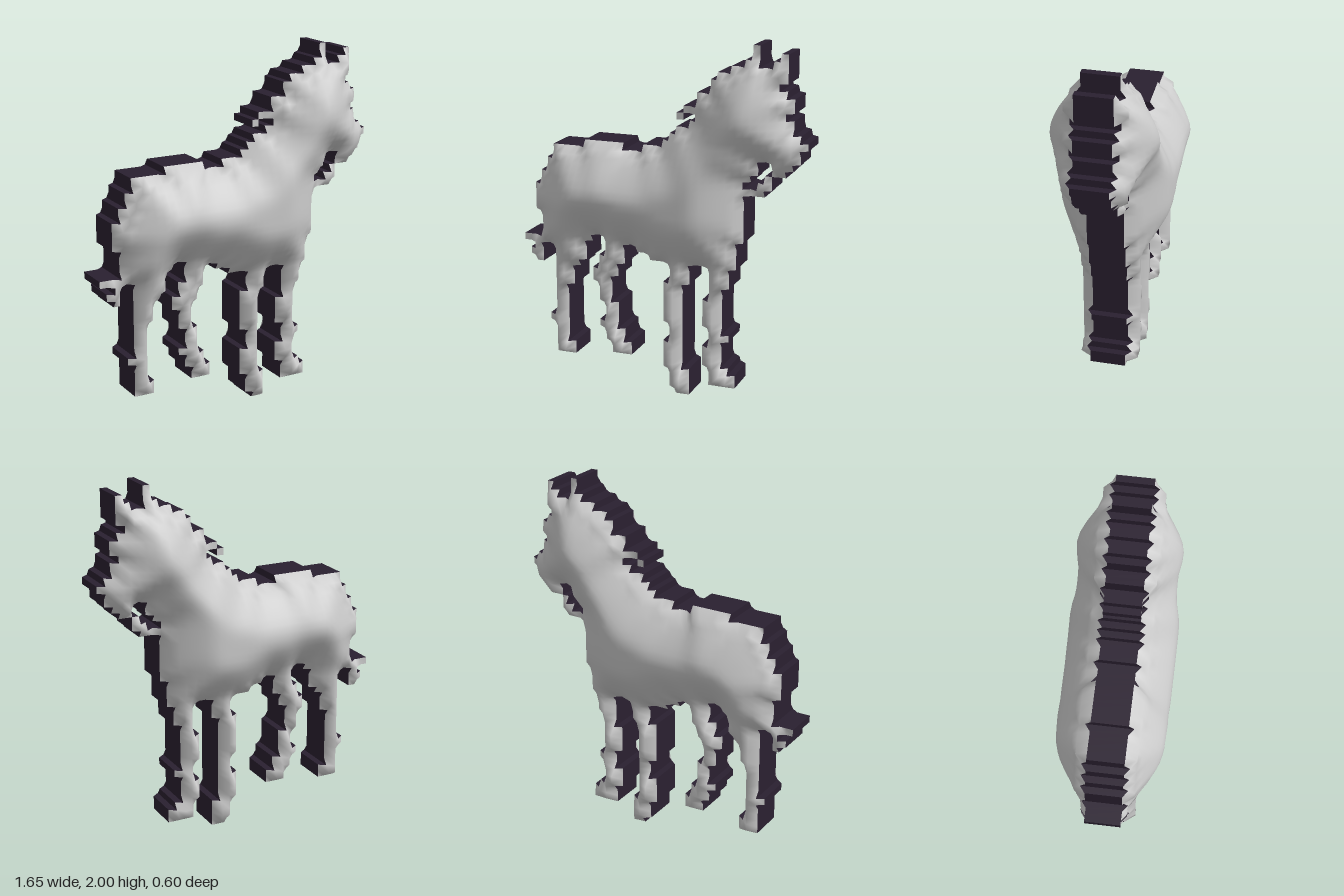
import * as THREE from 'three';

// Puffed-up horse: a stepped silhouette on a square grid, swelling with depth.
const COLS = 43, ROWS = 52, S = 2 / ROWS;

// Silhouette runs per part: [first row, last row, from column, to column], rows from the top
const PARTS = {
  ears: [[0, 1, 35, 36], [1, 1, 39, 40], [2, 2, 34, 36], [2, 2, 38, 40]],
  head: [[3, 3, 32, 40], [4, 4, 30, 40], [5, 5, 29, 39], [6, 6, 29, 40], [7, 8, 27, 41],
    [9, 9, 27, 40], [10, 10, 27, 41], [11, 11, 26, 41], [12, 12, 30, 42], [13, 13, 32, 43],
    [14, 15, 33, 42], [16, 16, 38, 41], [17, 17, 38, 40]],
  mane: [[9, 9, 25, 27], [10, 10, 24, 25]],
  neck: [[12, 12, 24, 30], [13, 13, 23, 32], [14, 14, 22, 33], [15, 15, 19, 33],
    [16, 17, 20, 36], [18, 18, 20, 35], [19, 19, 20, 34]],
  bridle: [[18, 18, 37, 38], [19, 19, 36, 38], [20, 20, 34, 37]],
  body: [[15, 15, 10, 16], [16, 17, 5, 20], [18, 19, 4, 20], [20, 21, 3, 34], [22, 25, 2, 34],
    [26, 27, 3, 34], [28, 28, 3, 33], [29, 29, 3, 11], [29, 29, 13, 33], [30, 30, 3, 10],
    [30, 30, 13, 16], [30, 30, 18, 33], [31, 31, 20, 33]],
  tail: [[30, 30, 0, 3], [31, 31, 2, 3], [32, 32, 1, 3], [33, 33, 2, 3]],
  hindLegOuter: [[31, 32, 5, 10], [33, 33, 5, 9], [34, 36, 5, 8], [37, 45, 5, 7],
    [42, 42, 4, 5], [46, 47, 5, 8]],
  hindLegInner: [[31, 31, 13, 16], [32, 32, 12, 16], [33, 33, 12, 15], [34, 34, 11, 15],
    [35, 35, 11, 14], [36, 38, 12, 14], [39, 41, 13, 15], [42, 42, 12, 15],
    [43, 44, 13, 16], [45, 46, 14, 17]],
  foreLegInner: [[32, 34, 23, 26], [35, 40, 22, 25], [41, 43, 23, 25], [44, 47, 22, 25],
    [48, 50, 23, 26], [51, 51, 24, 26]],
  foreLegOuter: [[32, 34, 29, 32], [35, 36, 29, 31], [37, 40, 28, 31], [41, 41, 29, 31],
    [42, 42, 29, 32], [43, 43, 29, 31], [44, 46, 28, 31], [47, 47, 29, 32], [48, 49, 29, 33]],
};

// Rasterise the runs so each cell knows its part
const cells = new Map();
for (const [name, runs] of Object.entries(PARTS))
  for (const [r0, r1, c0, c1] of runs)
    for (let r = r0; r <= r1; r++)
      for (let c = c0; c < c1; c++) cells.set(c + ',' + r, name);
const solid = (c, r) => cells.has(c + ',' + r);
const around = [[1, 0], [-1, 0], [0, 1], [0, -1]];

// Half thickness at each grid corner, from its distance to the silhouette edge
function swell() {
  const count = [], edge = [];
  const id = (c, r) => r * (COLS + 1) + c;
  for (let r = 0; r <= ROWS; r++) for (let c = 0; c <= COLS; c++) {
    const n = solid(c, r) + solid(c - 1, r) + solid(c, r - 1) + solid(c - 1, r - 1);
    count[id(c, r)] = n;
    if (n > 0 && n < 4) edge.push([c, r]);
  }
  const depth = [];
  let h = count.map((n, i) => {
    if (!n) return undefined;
    const c = i % (COLS + 1), r = Math.floor(i / (COLS + 1));
    depth[i] = n < 4 ? (n === 3 ? 0.3 : 0)
      : Math.min(...edge.map(([a, b]) => Math.hypot(a - c, b - r)));
    return 0.1 + 0.2 * Math.min(1, depth[i] / 6) ** 0.65;
  });
  // soften ridges inside the wide parts
  for (let pass = 0; pass < 2; pass++)
    h = h.map((v, i) => depth[i] > 1
      ? (2 * v + h[i - 1] + h[i + 1] + h[i - COLS - 1] + h[i + COLS + 1]) / 6 : v);
  return (c, r) => (c < 0 || r < 0 || c > COLS || r > ROWS ? undefined : h[id(c, r)]);
}

const X = c => (c - COLS / 2) * S;
const Y = r => 2 - r * S;

function geometry(positions, normals) {
  const g = new THREE.BufferGeometry();
  g.setAttribute('position', new THREE.Float32BufferAttribute(positions, 3));
  if (normals) g.setAttribute('normal', new THREE.Float32BufferAttribute(normals, 3));
  else g.computeVertexNormals();
  return g;
}

export function createModel() {
  const height = swell();
  const hideMaterial = new THREE.MeshStandardMaterial({ color: 0xcccccc });
  const rimMaterial = new THREE.MeshStandardMaterial({ color: 0x2a2030 });

  // slope of the swollen surface along one grid direction
  const slope = (c, r, dc, dr) => {
    const here = height(c, r), a = height(c - dc, r - dr), b = height(c + dc, r + dr);
    const steps = (a !== undefined) + (b !== undefined);
    return ((b ?? here) - (a ?? here)) / (S * Math.max(1, steps));
  };
  const normal = (c, r, side) =>
    new THREE.Vector3(-slope(c, r, 1, 0), slope(c, r, 0, 1), 1).normalize()
      .multiply(new THREE.Vector3(1, 1, side)).toArray();

  const model = new THREE.Group();
  model.name = 'horse';
  for (const name of Object.keys(PARTS)) {
    const pos = [], nor = [], rim = [];
    for (const [key, owner] of cells) {
      if (owner !== name) continue;
      const [c, r] = key.split(',').map(Number);
      // swollen hide on both sides
      const quad = [[c, r + 1], [c + 1, r + 1], [c + 1, r], [c, r]];
      for (const side of [1, -1])
        for (const k of side > 0 ? [0, 1, 2, 0, 2, 3] : [0, 2, 1, 0, 3, 2]) {
          const [a, b] = quad[k];
          pos.push(X(a), Y(b), side * height(a, b));
          nor.push(...normal(a, b, side));
        }
      // straight walls along the silhouette
      for (const [dc, dr] of around) {
        if (solid(c + dc, r + dr)) continue;
        const k = dr === 1 ? 0 : dc === 1 ? 1 : dr === -1 ? 2 : 3;
        const [a, b] = [quad[k], quad[(k + 1) % 4]];
        const p = (v, side) => [X(v[0]), Y(v[1]), side * height(...v)];
        rim.push(...p(a, 1), ...p(a, -1), ...p(b, -1), ...p(a, 1), ...p(b, -1), ...p(b, 1));
      }
    }
    const part = new THREE.Group();
    part.name = name;
    const hide = new THREE.Mesh(geometry(pos, nor), hideMaterial);
    hide.name = name + 'Hide';
    part.add(hide);
    if (rim.length) {
      const wall = new THREE.Mesh(geometry(rim), rimMaterial);
      wall.name = name + 'Rim';
      part.add(wall);
    }
    model.add(part);
  }
  return model;
}
